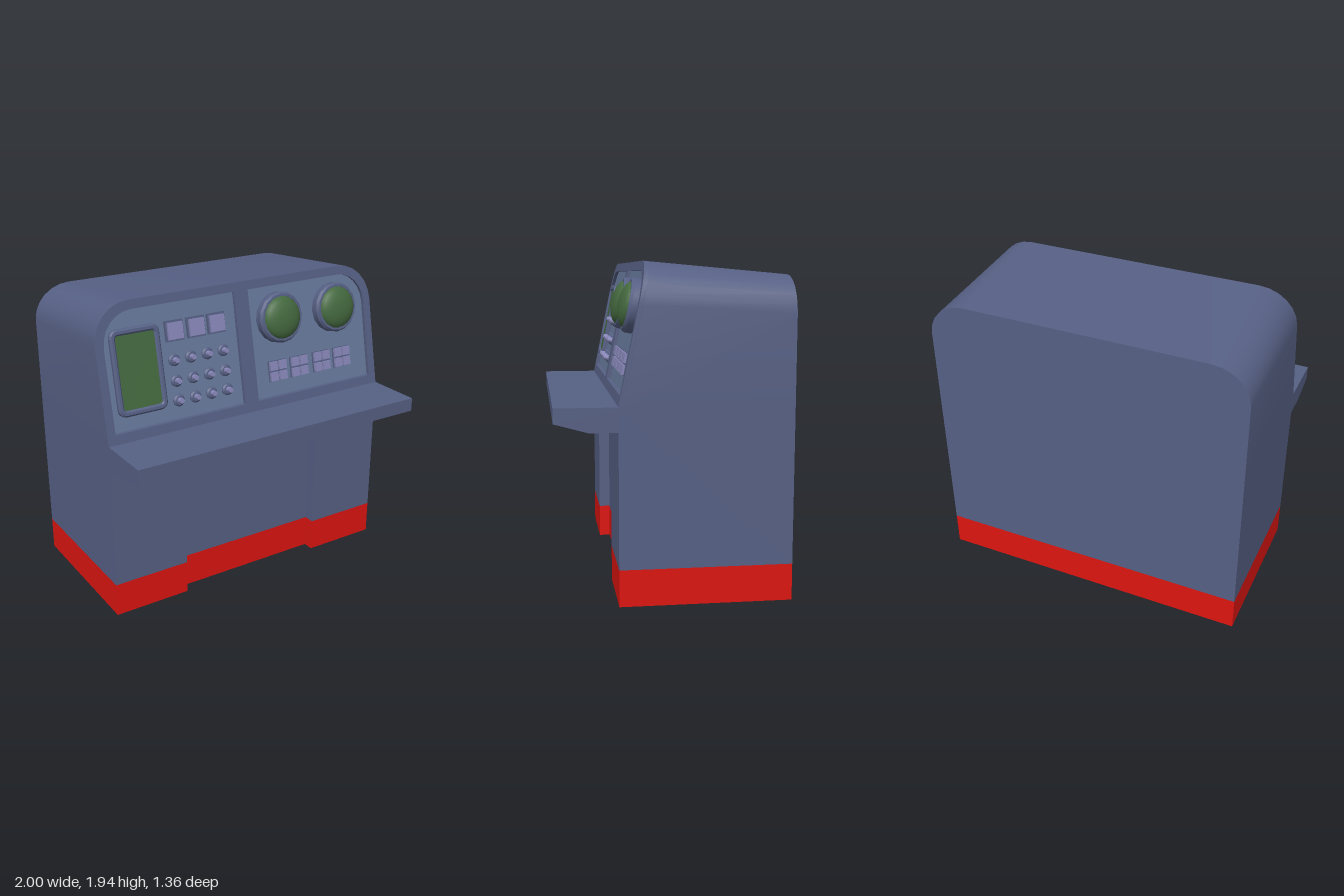
import * as THREE from 'three';
import { toCreasedNormals } from 'three/addons/utils/BufferGeometryUtils.js';

const mat = (color) => new THREE.MeshStandardMaterial({ color });
const BLUE = mat(0x566084), PANEL = mat(0x66789a), RED = mat(0xdd1510);
const GREEN = mat(0x44693f), LILAC = mat(0x8786b8);

const BACK = -0.68, FRONT = 0.32, DESK = 1.14, SLOPE = 0.206, RECESS = 0.028;
const TILT = -Math.atan(SLOPE);
const faceZ = (y) => FRONT - (y - DESK) * SLOPE;

function add(parent, name, geo, material, x = 0, y = 0, z = 0) {
  const mesh = new THREE.Mesh(geo, material);
  mesh.name = name;
  mesh.position.set(x, y, z);
  parent.add(mesh);
  return mesh;
}

// Quarter-round corner points, from the side up to the top
function corner(cx, cy, r) {
  return Array.from({ length: 7 }, (_, i) => {
    const a = (i / 6) * Math.PI / 2;
    return new THREE.Vector2(cx + r * Math.cos(a), cy + r * Math.sin(a));
  });
}

// Outline of the upper cabinet
function cabinetShape() {
  const right = corner(0.76, 1.7, 0.24);
  const left = right.map((p) => new THREE.Vector2(-p.x, p.y)).reverse();
  return new THREE.Shape([new THREE.Vector2(-1, DESK), new THREE.Vector2(1, DESK), ...right, ...left]);
}

// Outline of one instrument panel: side is 1 or -1
function panelPoints(side) {
  const pts = [
    new THREE.Vector2(0.05, 1.2), new THREE.Vector2(0.947, 1.2),
    ...corner(0.747, 1.686, 0.2), new THREE.Vector2(0.05, 1.886),
  ];
  return side > 0 ? pts : pts.map((p) => new THREE.Vector2(-p.x, p.y)).reverse();
}

// Lean the front face back and let the roof fall towards the rear;
// depth 0 is the front face, depth 1 the back
function lean(geo, depthAt) {
  const p = geo.attributes.position;
  for (let i = 0; i < p.count; i++) {
    const y = p.getY(i), d = depthAt(p.getZ(i));
    p.setXYZ(i, p.getX(i), y - (y - DESK) * 0.094 * d, THREE.MathUtils.lerp(faceZ(y), BACK, d));
  }
  geo.computeVertexNormals();
  return toCreasedNormals(geo, 0.6);
}

function roundedRect(w, h, r) {
  const s = new THREE.Shape();
  const x = w / 2, y = h / 2;
  s.moveTo(-x + r, -y);
  s.lineTo(x - r, -y).quadraticCurveTo(x, -y, x, -y + r);
  s.lineTo(x, y - r).quadraticCurveTo(x, y, x - r, y);
  s.lineTo(-x + r, y).quadraticCurveTo(-x, y, -x, y - r);
  s.lineTo(-x, -y + r).quadraticCurveTo(-x, -y, -x + r, -y);
  return s;
}

// Group standing on the sunken panel, its +z pointing out of the panel
function onPanel(parent, name, x, y) {
  const g = new THREE.Group();
  g.name = name;
  g.position.set(x, y, faceZ(y) - RECESS);
  g.rotation.x = TILT;
  parent.add(g);
  return g;
}

const block = (w, h, d) => new THREE.BoxGeometry(w, h, d).translate(0, 0, d / 2);
const drum = (r0, r1, h, n) => new THREE.CylinderGeometry(r1, r0, h, n).rotateX(Math.PI / 2).translate(0, 0, h / 2);
const turned = (pts, n) => toCreasedNormals(
  new THREE.LatheGeometry(pts.map(([r, h]) => new THREE.Vector2(r, h)), n).rotateX(Math.PI / 2), 0.6);

export function createModel() {
  const model = new THREE.Group();
  model.name = 'controlConsole';

  // Lower cabinet and plinth, with a shallow knee recess in front
  const plan = new THREE.Shape([
    [-1, -FRONT], [-0.5, -FRONT], [-0.5, -0.25], [0.5, -0.25],
    [0.5, -FRONT], [1, -FRONT], [1, -BACK], [-1, -BACK],
  ].map(([x, z]) => new THREE.Vector2(x, z)));
  const storey = (h) => new THREE.ExtrudeGeometry(plan, { depth: h, bevelEnabled: false }).rotateX(-Math.PI / 2);
  add(model, 'plinth', storey(0.215), RED);
  add(model, 'lowerCabinet', storey(DESK - 0.215), BLUE, 0, 0.215);

  // Upper cabinet, with a front frame cut out for the two panels
  const slab = (shape) => new THREE.ExtrudeGeometry(shape, { depth: 1, bevelEnabled: false });
  add(model, 'upperCabinet', lean(slab(cabinetShape()), (z) => 1 - z * (1 - RECESS)), BLUE);
  const frame = cabinetShape();
  frame.holes = [1, -1].map((s) => new THREE.Path(panelPoints(s)));
  add(model, 'panelFrame', lean(slab(frame), (z) => RECESS * (1 - z)), BLUE);
  for (const s of [1, -1]) {
    const floor = new THREE.ShapeGeometry(new THREE.Shape(panelPoints(s)));
    add(model, s > 0 ? 'leftPanel' : 'rightPanel', lean(floor, () => RECESS - 0.003), PANEL);
  }

  // Desk shelf
  const shelf = new THREE.Shape([
    [0.24, 1.0], [0.48, 1.0], [0.68, 1.055], [0.68, 1.142], [0.24, 1.142],
  ].map(([z, y]) => new THREE.Vector2(-z, y)).reverse());
  add(model, 'deskShelf', new THREE.ExtrudeGeometry(shelf, { depth: 2, bevelEnabled: false })
    .rotateY(Math.PI / 2), BLUE, -1);

  // Monitor: rounded bezel around a green screen
  const monitor = onPanel(model, 'monitor', -0.745, 1.53);
  const bezel = roundedRect(0.3, 0.49, 0.04);
  bezel.holes = [roundedRect(0.272, 0.456, 0.03)];
  add(monitor, 'bezel', new THREE.ExtrudeGeometry(bezel, {
    depth: 0.025, bevelThickness: 0.01, bevelSize: 0.01, bevelSegments: 1, curveSegments: 4,
  }), BLUE);
  add(monitor, 'screen', new THREE.ExtrudeGeometry(roundedRect(0.28, 0.465, 0.03), {
    depth: 0.022, bevelEnabled: false, curveSegments: 4,
  }), GREEN);

  // Three square indicator lights
  for (const x of [-0.482, -0.335, -0.192]) {
    const light = onPanel(model, 'indicatorLight', x, 1.717);
    add(light, 'lightBase', block(0.122, 0.125, 0.022), BLUE);
    add(light, 'lightLens', block(0.1, 0.1, 0.038), LILAC);
  }

  // Knobs, four columns by three rows
  const base = turned([[0.038, 0], [0.038, 0.012], [0.027, 0.022], [0, 0.022]], 12);
  const stem = drum(0.02, 0.016, 0.052, 10);
  for (const x of [-0.502, -0.387, -0.273, -0.159]) {
    for (const y of [1.548, 1.425, 1.308]) {
      const knob = onPanel(model, 'knob', x, y);
      add(knob, 'knobBase', base, BLUE);
      add(knob, 'knobStem', stem, LILAC);
    }
  }

  // Round scopes: a ring with a domed green glass
  const ring = turned([[0.16, 0], [0.16, 0.05], [0.148, 0.066], [0.134, 0.066], [0.134, 0.045]], 16);
  const glass = turned(Array.from({ length: 7 }, (_, i) => {
    const a = (i / 6) * Math.PI / 2;
    return [0.135 * Math.cos(a), 0.055 + 0.058 * Math.sin(a)];
  }), 24);
  for (const x of [0.263, 0.697]) {
    const scope = onPanel(model, 'scope', x, 1.682);
    add(scope, 'scopeRing', ring, BLUE);
    add(scope, 'scopeGlass', glass, GREEN);
  }

  // Push buttons in four clusters of two by two
  for (const cx of [0.224, 0.391, 0.571, 0.737]) {
    const cluster = onPanel(model, 'buttonCluster', cx, 1.355);
    add(cluster, 'clusterBase', block(0.134, 0.132, 0.012), BLUE);
    for (const dx of [-0.034, 0.034]) {
      for (const dy of [-0.034, 0.034]) add(cluster, 'pushButton', block(0.055, 0.055, 0.028), LILAC, dx, dy);
    }
  }
  return model;
}
